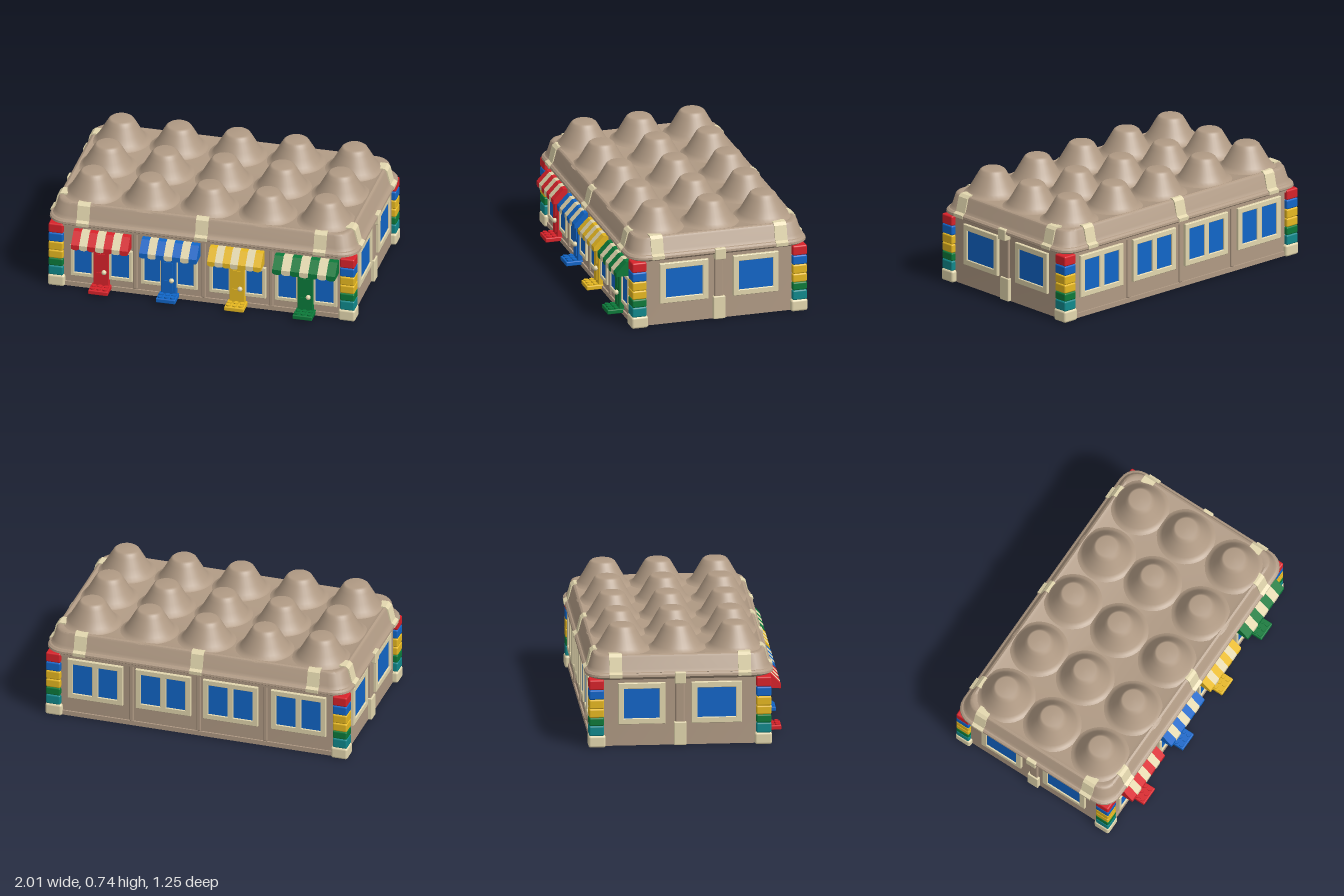
import * as THREE from 'three';
import { toCreasedNormals } from 'three/addons/utils/BufferGeometryUtils.js';
import { RoundedBoxGeometry } from 'three/addons/geometries/RoundedBoxGeometry.js';

const mat = (name, color) => new THREE.MeshStandardMaterial({ name, color });
const M = {
  card: mat('cardboard brown', 0xb09a84),
  cream: mat('cream', 0xe3d7ae),
  red: mat('red', 0xd8222a),
  blue: mat('blue', 0x1166c8),
  yellow: mat('yellow', 0xe6b821),
  green: mat('green', 0x0b7a3a),
  teal: mat('teal', 0x10898c),
  dark: mat('dark underside', 0x45443c),
};
const CZ = -0.03; // centre of the building in z

function add(parent, name, geo, material, x = 0, y = 0, z = 0) {
  const m = new THREE.Mesh(geo, material);
  m.name = name;
  m.position.set(x, y, z);
  parent.add(m);
  return m;
}
const box = (w, h, d) => new THREE.BoxGeometry(w, h, d);

// Skin over stacked rounded rectangles, each ring = [halfX, halfZ, radius, y]
function loft(rings) {
  const pos = [], idx = [], N = 28;
  for (const [hx, hz, r, y] of rings)
    for (let k = 0; k < 4; k++)
      for (let i = 0; i < 7; i++) {
        const a = (k + i / 6) * Math.PI / 2;
        const sx = k === 0 || k === 3 ? 1 : -1, sz = k < 2 ? 1 : -1;
        pos.push(sx * (hx - r) + r * Math.cos(a), y, -(sz * (hz - r) + r * Math.sin(a)));
      }
  const L = rings.length;
  pos.push(0, rings[0][3], 0, 0, rings[L - 1][3], 0);
  for (let j = 0; j < N; j++) {
    const k = (j + 1) % N;
    for (let s = 0; s < L - 1; s++) {
      const a = s * N + j, b = s * N + k;
      idx.push(a, b, b + N, a, b + N, a + N);
    }
    idx.push(L * N, k, j, L * N + 1, (L - 1) * N + j, (L - 1) * N + k);
  }
  const g = new THREE.BufferGeometry();
  g.setAttribute('position', new THREE.Float32BufferAttribute(pos, 3));
  g.setIndex(idx);
  return toCreasedNormals(g, 0.6);
}

// Side profile of (z, y) points, extruded across the width in x
function prism(points, width) {
  const s = new THREE.Shape(points.map(p => new THREE.Vector2(...p)));
  const g = new THREE.ExtrudeGeometry(s, { depth: width, bevelEnabled: false });
  return g.rotateY(-Math.PI / 2).translate(width / 2, 0, 0);
}

// Frame with panes; holes are [centre, width] along the wall
function windowUnit(wall, u, width, y0, y1, border, holes) {
  const g = new THREE.Group();
  g.name = 'window';
  g.position.x = u;
  wall.add(g);
  const rect = (P, x0, x1, b, t) => {
    const p = new P();
    p.moveTo(x0, b); p.lineTo(x1, b); p.lineTo(x1, t); p.lineTo(x0, t); p.closePath();
    return p;
  };
  const s = rect(THREE.Shape, -width / 2, width / 2, y0, y1);
  for (const [c, w] of holes) {
    s.holes.push(rect(THREE.Path, c - w / 2, c + w / 2, y0 + border, y1 - border));
    add(g, 'windowPane', box(w, y1 - y0 - 2 * border, 0.008), M.blue, c, (y0 + y1) / 2, 0.006);
  }
  add(g, 'windowFrame', new THREE.ExtrudeGeometry(s, {
    depth: 0.016, bevelEnabled: true, bevelSize: 0.003, bevelThickness: 0.003, bevelOffset: -0.003, bevelSegments: 1,
  }), M.cream);
}

// Door, awning and step; local z = 0 is the wall surface
function shopFront(wall, door, awning, awningWidth, offset, paneWidth, colour) {
  const g = new THREE.Group();
  g.name = 'shopFront';
  wall.add(g);
  for (const s of [-1, 1])
    windowUnit(g, door + s * offset, paneWidth + 0.045, 0.085, 0.3, 0.025, [[0, paneWidth]]);
  add(g, 'door', new RoundedBoxGeometry(0.1, 0.26, 0.036, 2, 0.006), colour, door, 0.165, 0.012);
  for (const [y, h] of [[0.1, 0.07], [0.22, 0.09]])
    add(g, 'doorPanel', box(0.056, h, 0.008), colour, door, y, 0.031);
  add(g, 'doorKnob', new THREE.SphereGeometry(0.016, 14, 10), M.cream, door + 0.022, 0.143, 0.04);

  // Striped awning with a scalloped hem
  const profile = [[-0.01, 0.32], [0.097, 0.318], [0.097, 0.342], [0.032, 0.41], [-0.01, 0.415]];
  const w = awningWidth / 7;
  for (let i = 0; i < 7; i++) {
    const x = awning + (i - 3) * w, m = i % 2 ? M.cream : colour;
    add(g, 'awningStripe', prism(profile, w), m, x);
    const hem = new THREE.CylinderGeometry(w / 2, w / 2, 0.009, 14).rotateX(Math.PI / 2).scale(1, 0.42, 1);
    add(g, 'awningHem', hem, m, x, 0.319, 0.092);
  }

  // Step made of a studded brick
  add(g, 'doorStep', new RoundedBoxGeometry(0.125, 0.028, 0.11, 2, 0.005), colour, door, 0.029, 0.054);
  for (let i = 0; i < 3; i++)
    for (let j = 0; j < 2; j++)
      add(g, 'stepStud', new THREE.CylinderGeometry(0.015, 0.015, 0.01, 14), colour,
        door + (i - 1) * 0.04, 0.047, 0.048 + j * 0.036);
}

export function createModel() {
  const model = new THREE.Group();
  model.name = 'eggCartonShops';

  // Main body and underside
  add(model, 'walls', loft([[0.955, 0.545, 0.06, 0.004], [0.955, 0.545, 0.06, 0.45]]), M.card, 0, 0, CZ);
  add(model, 'underside', box(1.88, 0.004, 1.06), M.dark, 0, 0.003, CZ);

  // Carton lid with a rolled rim
  add(model, 'lid', loft([
    [0.955, 0.545, 0.1, 0.43], [0.982, 0.57, 0.11, 0.443], [0.998, 0.588, 0.12, 0.455],
    [0.996, 0.586, 0.12, 0.468], [0.982, 0.572, 0.11, 0.478], [0.968, 0.56, 0.11, 0.5],
    [0.95, 0.541, 0.1, 0.57], [0.943, 0.534, 0.1, 0.581], [0.93, 0.521, 0.1, 0.586], [0.91, 0.501, 0.09, 0.58],
  ]), M.card, 0, 0, CZ);
  add(model, 'lidBead', loft([
    [0.97, 0.56, 0.11, 0.473], [0.988, 0.578, 0.115, 0.479], [0.97, 0.56, 0.11, 0.486],
  ]), M.card, 0, 0, CZ);

  // Egg cups on the roof
  const cup = new THREE.LatheGeometry([
    [0.19, 0.578], [0.168, 0.585], [0.15, 0.605], [0.126, 0.645], [0.095, 0.7],
    [0.08, 0.725], [0.067, 0.735], [0, 0.736],
  ].map(p => new THREE.Vector2(...p)), 36);
  for (const x of [-0.75, -0.38, 0, 0.375, 0.75])
    for (const z of [-0.38, -0.035, 0.325]) add(model, 'eggCup', cup, M.card, x, 0, z);

  // Wall groups: local x runs along the wall, local z points outward
  const wall = (name, x, z, turn) => {
    const g = new THREE.Group();
    g.name = name;
    g.position.set(x, 0, z);
    g.rotation.y = turn;
    model.add(g);
    return g;
  };
  const front = wall('frontWall', 0, 0.515, 0);
  const back = wall('backWall', 0, -0.575, Math.PI);
  const left = wall('leftWall', 0.955, CZ, Math.PI / 2);
  const right = wall('rightWall', -0.955, CZ, -Math.PI / 2);

  // Four shops along the front
  shopFront(front, -0.645, -0.638, 0.365, 0.12, 0.112, M.red);
  shopFront(front, -0.21, -0.197, 0.37, 0.108, 0.102, M.blue);
  shopFront(front, 0.23, 0.228, 0.345, 0.108, 0.104, M.yellow);
  shopFront(front, 0.67, 0.677, 0.405, 0.12, 0.116, M.green);

  // Double windows along the back
  for (const x of [-0.665, -0.22, 0.22, 0.665])
    windowUnit(back, x, 0.36, 0.135, 0.41, 0.035, [[-0.082, 0.125], [0.082, 0.125]]);

  // Ribs between the bays and bands under the lid
  for (const g of [front, back]) {
    for (const x of [-0.43, 0.01, 0.445])
      add(g, 'rib', new RoundedBoxGeometry(0.03, 0.4, 0.024, 2, 0.008), M.card, x, 0.235, 0);
    add(g, 'upperBand', box(1.8, 0.022, 0.03), M.card, 0, 0.435, 0);
    add(g, 'lowerBand', box(1.8, 0.03, 0.02), M.card, 0, 0.02, 0);
  }

  // End walls: two windows and a taped post
  for (const [g, s] of [[left, -1], [right, 1]]) {
    windowUnit(g, s * 0.228, 0.315, 0.145, 0.41, 0.037, [[0, 0.24]]);
    windowUnit(g, s * -0.24, 0.295, 0.145, 0.41, 0.037, [[0, 0.222]]);
    add(g, 'post', new RoundedBoxGeometry(0.06, 0.43, 0.03, 2, 0.01), M.card, 0, 0.225, 0);
    add(g, 'postBase', new RoundedBoxGeometry(0.078, 0.15, 0.05, 2, 0.006), M.cream, 0, 0.08, 0);
    add(g, 'postTape', new RoundedBoxGeometry(0.07, 0.074, 0.05, 2, 0.006), M.cream, 0, 0.445, 0.024);
  }

  // Tape strips folded over the lid edge
  const strip = prism([
    [0.046, 0.452], [0.047, 0.474], [0.025, 0.484], [0.003, 0.575], [-0.016, 0.592],
    [-0.06, 0.592], [-0.06, 0.565], [-0.02, 0.56], [0, 0.46],
  ], 0.08);
  for (const g of [front, back])
    for (const x of [-0.762, 0, 0.762]) add(g, 'lidTape', strip, M.cream, x);
  for (const g of [left, right])
    for (const x of [-0.403, 0.403]) add(g, 'lidTape', strip, M.cream, x);

  // Corner columns of stacked blocks on cream feet
  const stack = [
    [M.teal, 0.075, 0.14], [M.green, 0.14, 0.193], [M.yellow, 0.193, 0.25],
    [M.yellow, 0.25, 0.31], [M.blue, 0.31, 0.372], [M.red, 0.372, 0.437],
  ];
  for (const sx of [-1, 1])
    for (const sz of [-1, 1]) {
      const c = new THREE.Group();
      c.name = 'cornerColumn';
      c.position.set(sx * 0.938, 0, CZ + sz * 0.523);
      model.add(c);
      add(c, 'columnFoot', new RoundedBoxGeometry(0.108, 0.078, 0.108, 3, 0.015), M.cream, -sx * 0.003, 0.039, -sz * 0.003);
      for (const [m, y0, y1] of stack)
        add(c, 'columnBlock', new RoundedBoxGeometry(0.094, y1 - y0, 0.094, 3, 0.01), m, 0, (y0 + y1) / 2, 0);
    }
  return model;
}
